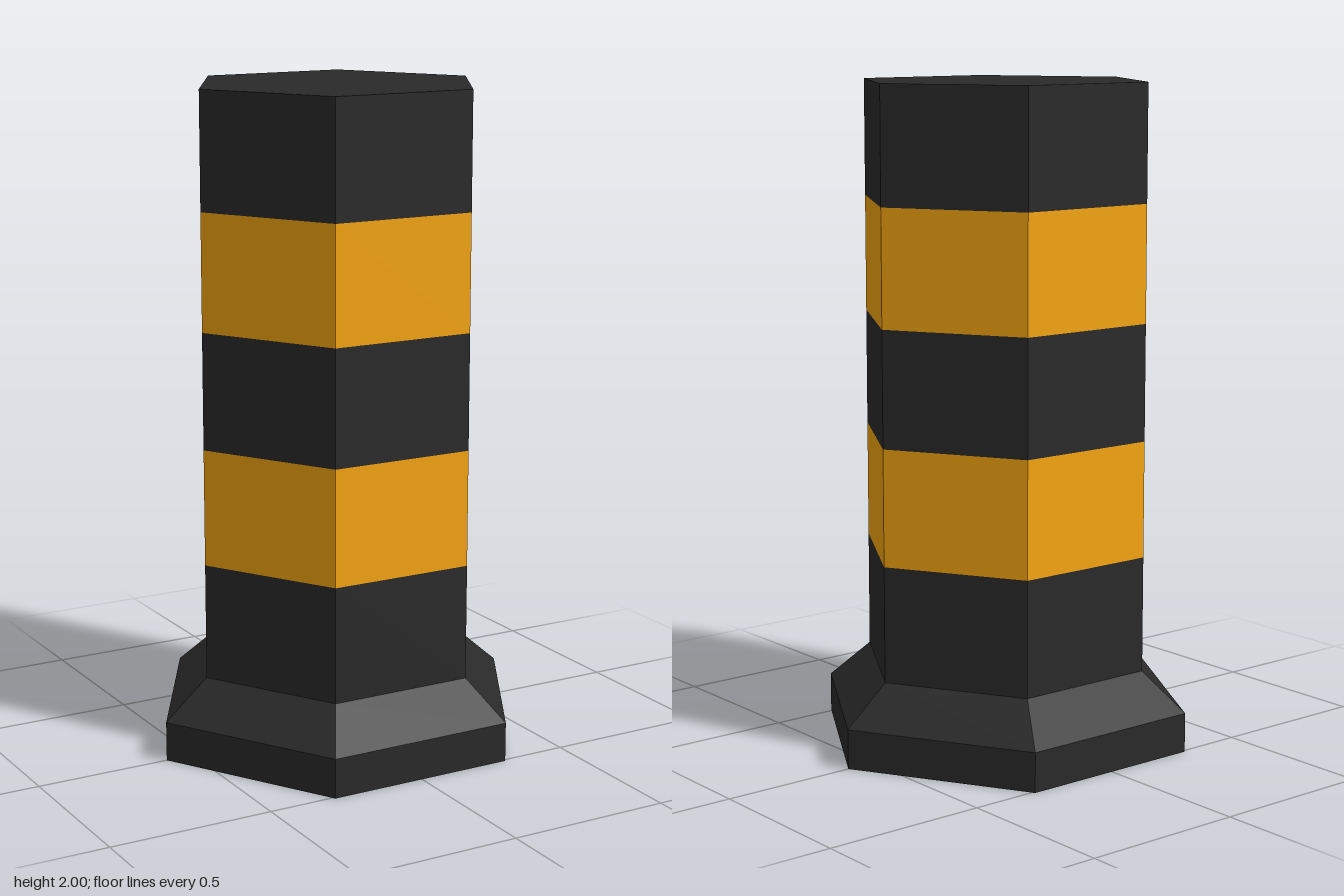
import * as THREE from 'three';

const SIDES = 6;
const POST_RADIUS = 0.45;
const BASE_RADIUS = 0.587;

const black = new THREE.MeshStandardMaterial({ color: 0x2a2a2a, flatShading: true });
const orange = new THREE.MeshStandardMaterial({ color: 0xf5a511, flatShading: true });

// Hexagonal solid from a [radius, height] profile, with corners on the x axis
function hexPart(name, profile, material) {
  const points = profile.map(([r, y]) => new THREE.Vector2(r, y));
  const mesh = new THREE.Mesh(new THREE.LatheGeometry(points, SIDES, Math.PI / 2), material);
  mesh.name = name;
  return mesh;
}

export function createModel() {
  const bollard = new THREE.Group();
  bollard.name = 'bollard';

  // Foot: closed underside, short upright rim, then a bevel up to the post
  bollard.add(hexPart('base', [
    [0, 0], [BASE_RADIUS, 0], [BASE_RADIUS, 0.12], [POST_RADIUS, 0.238],
  ], black));

  // Post: five equal bands, alternating black and orange
  const levels = [0.238, 0.59, 0.943, 1.295, 1.648, 2];
  for (let i = 0; i < levels.length - 1; i++) {
    const profile = [[POST_RADIUS, levels[i]], [POST_RADIUS, levels[i + 1]]];
    const striped = i % 2 === 1;
    if (i === levels.length - 2) profile.push([0, levels[i + 1]]); // flat top
    bollard.add(hexPart(striped ? 'orangeStripe' : 'blackBand', profile, striped ? orange : black));
  }

  return bollard;
}
